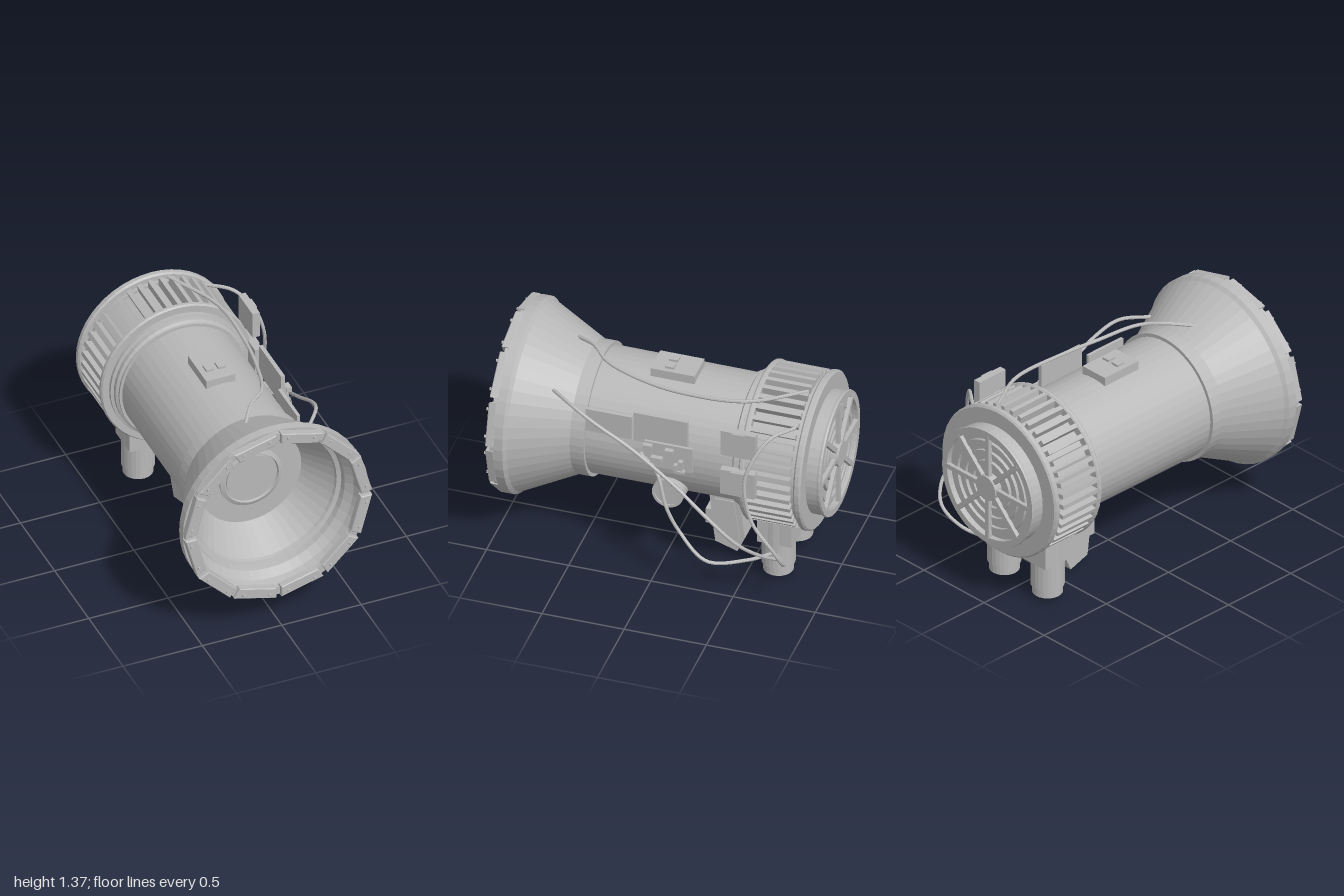
import * as THREE from 'three';

export function createModel() {
  const model = new THREE.Group();
  const grey = new THREE.MeshStandardMaterial({ color: 0xb8b8b8, flatShading: true });
  grey.name = 'plain grey';

  const add = (parent, name, geo) => {
    const m = new THREE.Mesh(geo, grey);
    m.name = name;
    parent.add(m);
    return m;
  };
  // Box given by its lower and upper limits
  const box = (parent, name, x0, x1, y0, y1, z0, z1) => {
    const m = add(parent, name, new THREE.BoxGeometry(x1 - x0, y1 - y0, z1 - z0));
    m.position.set((x0 + x1) / 2, (y0 + y1) / 2, (z0 + z1) / 2);
    return m;
  };
  // Solid of revolution about z, profile as [radius, z]
  const lathe = (parent, name, pts, sides = 48) =>
    add(parent, name, new THREE.LatheGeometry(pts.map(p => new THREE.Vector2(...p)), sides).rotateX(Math.PI / 2));

  // Everything that turns about the main axis
  const barrel = new THREE.Group();
  barrel.name = 'barrel';
  barrel.position.set(-0.01, 0.78, 0);
  model.add(barrel);

  // Shell: back to front on the outside, then back in through the horn
  lathe(barrel, 'hornAndTube', [
    [0.375, -0.5], [0.378, 0.445], [0.4, 0.445], [0.4, 0.53], [0.565, 0.86], [0.585, 0.88],
    [0.585, 0.935], [0.53, 0.935], [0.515, 0.88], [0.48, 0.83], [0.475, 0.79], [0.45, 0.78],
    [0.445, 0.76], [0.322, 0.56], [0, 0.56]]);
  // Round window at the bottom of the horn
  lathe(barrel, 'hornWindow', [
    [0.195, 0.555], [0.195, 0.575], [0.17, 0.585], [0.165, 0.57], [0.155, 0.57], [0.155, 0.58], [0, 0.58]]);
  // Stepped rings, finned drum core and rear housing
  lathe(barrel, 'drum', [
    [0, -0.945], [0.34, -0.945], [0.34, -0.962], [0.37, -0.962], [0.37, -0.895], [0.465, -0.895],
    [0.476, -0.885], [0.476, -0.86], [0.465, -0.85], [0.435, -0.85], [0.435, -0.825], [0.42, -0.825],
    [0.42, -0.55], [0.468, -0.55], [0.476, -0.542], [0.476, -0.525], [0.468, -0.515], [0.425, -0.515],
    [0.425, -0.495], [0.407, -0.49], [0.407, -0.465], [0.392, -0.455], [0.392, -0.44], [0.37, -0.44]]);

  // Cooling fins
  const FINS = 42;
  for (let i = 0; i < FINS; i++) {
    const a = (i / FINS) * Math.PI * 2;
    const fin = add(barrel, 'coolingFin', new THREE.BoxGeometry(0.06, 0.028, 0.275));
    fin.position.set(Math.cos(a) * 0.44, Math.sin(a) * 0.44, -0.6875);
    fin.rotation.z = a;
  }

  // Rear grille: outer rim, thin rings, spokes and hub
  lathe(barrel, 'grilleRim', [
    [0.335, -0.965], [0.335, -0.985], [0.375, -0.985], [0.378, -0.975], [0.375, -0.962], [0.335, -0.962]]);
  for (const r of [0.28, 0.215, 0.15])
    lathe(barrel, 'grilleRing', [
      [r - 0.012, -0.945], [r - 0.012, -0.965], [r + 0.012, -0.965], [r + 0.012, -0.945]]);
  for (let i = 0; i < 8; i++) {
    const a = (i * Math.PI) / 4;
    const spoke = add(barrel, 'grilleSpoke', new THREE.BoxGeometry(0.3, 0.03, 0.025));
    spoke.position.set(Math.cos(a) * 0.2, Math.sin(a) * 0.2, -0.974);
    spoke.rotation.z = a;
  }
  lathe(barrel, 'grilleHub', [[0, -0.998], [0.08, -0.998], [0.08, -0.945]], 24);

  // Twelve straight rim plates with bolts, joined by small links
  const half = Math.PI / 12, corner = 0.592, gap = 0.016;
  const plate = new THREE.Shape();
  const top = corner * Math.cos(half), low = top - 0.068;
  const wTop = top * Math.tan(half) - gap, wLow = low * Math.tan(half) - gap;
  plate.moveTo(-wLow, low).lineTo(wLow, low).lineTo(wTop, top).lineTo(-wTop, top).closePath();
  const plateGeo = new THREE.ExtrudeGeometry(plate, {
    depth: 0.04, bevelEnabled: true, bevelThickness: 0.005, bevelSize: 0.005, bevelOffset: -0.005, bevelSegments: 1 });
  for (let i = 0; i < 12; i++) {
    const seg = new THREE.Group();
    seg.name = 'rimSegment';
    seg.rotation.z = half * (2 * i + 1);
    barrel.add(seg);
    add(seg, 'rimPlate', plateGeo).position.z = 0.94;
    for (const s of [-1, 1]) {
      const bolt = add(seg, 'rimBolt', new THREE.CylinderGeometry(0.01, 0.01, 0.016, 6).rotateX(Math.PI / 2));
      bolt.position.set(s * 0.085, 0.546, 0.992);
    }
    const link = new THREE.Group();
    link.name = 'rimLink';
    link.rotation.z = half * 2 * i;
    barrel.add(link);
    box(link, 'linkBlock', -0.02, 0.02, 0.53, 0.58, 0.93, 0.96);
  }

  // Two motors under the drum
  for (const x of [-0.187, 0.172]) {
    const motor = new THREE.Group();
    motor.name = 'motor';
    motor.position.set(x, 0, -0.67);
    model.add(motor);
    add(motor, 'motorBody', new THREE.CylinderGeometry(0.1, 0.1, 0.38, 24)).position.y = 0.27;
    add(motor, 'motorCap', new THREE.CylinderGeometry(0.09, 0.09, 0.06, 24)).position.y = 0.055;
    box(motor, 'motorMount', -0.095, 0.095, 0.25, 0.42, -0.11, 0.1);
  }

  // Side profile [z, y] extruded across x
  const slab = (name, pts, x0, x1) => {
    const s = new THREE.Shape(pts.map(([z, y]) => new THREE.Vector2(-z, y)));
    const g = new THREE.ExtrudeGeometry(s, { depth: x1 - x0, bevelEnabled: false });
    add(model, name, g.rotateY(Math.PI / 2).translate(x0, 0, 0));
  };
  // Hanging grip with side panels and a front block
  slab('grip', [[-0.21, 0.42], [-0.39, 0.42], [-0.43, 0.1], [-0.385, 0], [-0.25, 0.045], [-0.235, 0.16]], -0.085, 0.065);
  slab('gripPanel', [[-0.25, 0.35], [-0.365, 0.35], [-0.4, 0.1], [-0.26, 0.1]], -0.092, 0.072);
  box(model, 'gripBlock', -0.08, 0.06, 0.16, 0.26, -0.26, -0.19);

  // Top control plate with two buttons
  box(model, 'topPlate', -0.105, 0.08, 1.14, 1.2, -0.13, 0.14);
  for (const x of [-0.07, 0.005]) box(model, 'topButton', x, x + 0.048, 1.2, 1.214, 0.005, 0.06);

  // Upright panels along the left side
  box(model, 'frontSidePanel', 0.335, 0.355, 0.87, 1.03, 0.165, 0.445);
  box(model, 'middleSidePanel', 0.365, 0.39, 0.9, 1.095, -0.185, 0.14);
  box(model, 'circuitBoard', 0.42, 0.437, 0.775, 0.945, -0.23, 0.06);
  // Board components as [z, y, depth, height]
  for (const [z, y, d, h] of [[0.035, 0.92, 0.055, 0.03], [-0.095, 0.91, 0.05, 0.03], [-0.02, 0.84, 0.07, 0.035],
    [-0.135, 0.805, 0.02, 0.05], [-0.165, 0.83, 0.025, 0.06], [-0.16, 0.785, 0.06, 0.015]])
    box(model, 'boardComponent', 0.435, 0.468, y - h / 2, y + h / 2, z - d / 2, z + d / 2);
  box(model, 'boardSpacer', 0.33, 0.425, 0.82, 0.88, -0.12, -0.06);

  // Junction boxes on the drum
  for (const [y, x] of [[0.975, 0.425], [0.71, 0.44]]) {
    box(model, 'junctionBox', x, x + 0.045, y, y + 0.17, -0.625, -0.415);
    box(model, 'junctionCap', x + 0.04, x + 0.055, y + 0.135, y + 0.168, -0.56, -0.48);
  }

  // Round side port with a raised rim
  const port = new THREE.Group();
  port.name = 'sidePort';
  port.position.set(0.32, 0.55, -0.06);
  port.rotation.y = Math.PI / 2;
  model.add(port);
  lathe(port, 'portBody', [[0.095, -0.1], [0.095, 0.055], [0.08, 0.055], [0.08, 0.045], [0, 0.045]], 28);

  // Loose cables
  const cables = [
    [[-0.07, 1.215, 0.63], [0.02, 1.245, 0.5], [0.14, 1.235, 0.38], [0.22, 1.205, 0.12], [0.255, 1.2, -0.13],
      [0.24, 1.215, -0.5], [0.07, 1.243, -0.82]],
    [[0.32, 1.095, 0.65], [0.43, 1.09, 0.5], [0.47, 1.03, 0.36], [0.485, 0.9, 0.12], [0.54, 0.72, -0.18],
      [0.58, 0.61, -0.34], [0.55, 0.42, -0.53], [0.4, 0.25, -0.65], [0.25, 0.14, -0.71]],
    [[0.42, 0.84, 0.09], [0.49, 0.78, -0.03], [0.53, 0.58, -0.1], [0.53, 0.42, -0.18], [0.58, 0.28, -0.36],
      [0.42, 0.22, -0.56], [0.26, 0.18, -0.66]],
    [[0.29, 1.13, -0.81], [0.43, 1.12, -0.7], [0.53, 1.0, -0.62], [0.57, 0.87, -0.59], [0.59, 0.63, -0.64],
      [0.595, 0.45, -0.77], [0.55, 0.34, -0.81], [0.42, 0.24, -0.78], [0.26, 0.18, -0.69]],
  ];
  for (const pts of cables) {
    const path = new THREE.CatmullRomCurve3(pts.map(p => new THREE.Vector3(...p)));
    add(model, 'cable', new THREE.TubeGeometry(path, 48, 0.011, 8));
  }

  return model;
}
